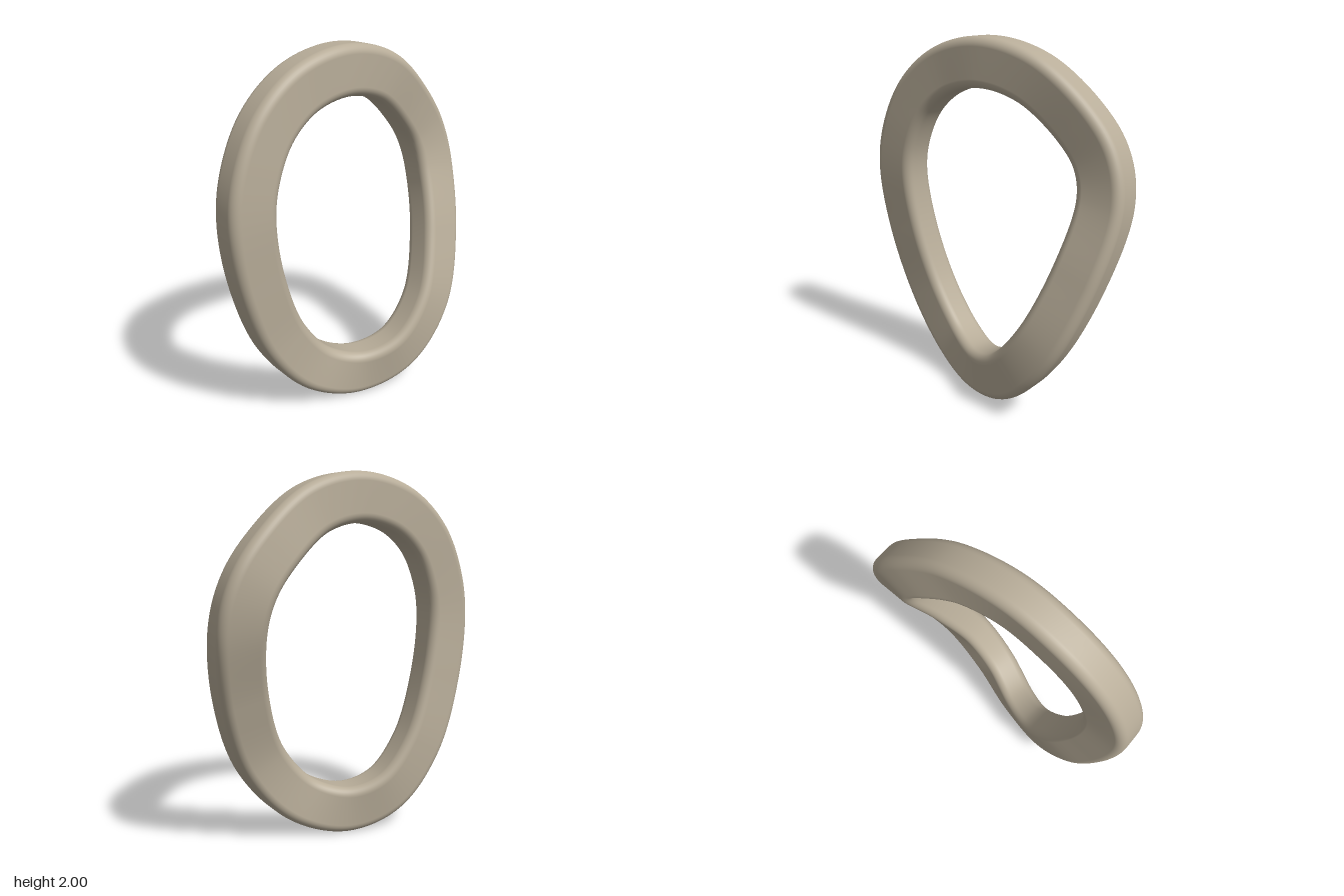
import * as THREE from 'three';

// Rounded-rectangle cross-section, counter-clockwise: u is radial, v is through the thickness
function roundedSection(halfW, halfT, r, steps) {
  const pts = [];
  const corners = [[1, -1, -90], [1, 1, 0], [-1, 1, 90], [-1, -1, 180]];
  for (const [sx, sy, start] of corners) {
    for (let i = 0; i <= steps; i++) {
      const a = THREE.MathUtils.degToRad(start + (90 * i) / steps);
      pts.push([sx * (halfW - r) + r * Math.cos(a), sy * (halfT - r) + r * Math.sin(a)]);
    }
  }
  return pts;
}

// Sweep a section round a closed curve, keeping its width parallel to the front plane
function sweepRing(curve, section, segments) {
  const pos = [], index = [], n = section.length;
  for (let i = 0; i < segments; i++) {
    const p = curve.getPointAt(i / segments);
    const t = curve.getTangentAt(i / segments);
    const out = new THREE.Vector3(t.y, -t.x, 0).normalize();
    const face = new THREE.Vector3().crossVectors(out, t).normalize();
    const next = (i + 1) % segments;
    section.forEach(([u, v], j) => {
      const q = p.clone().addScaledVector(out, u).addScaledVector(face, v);
      pos.push(q.x, q.y, q.z);
      const k = (j + 1) % n;
      const a = i * n + j, b = next * n + j, c = next * n + k, d = i * n + k;
      index.push(a, b, c, a, c, d);
    });
  }
  const g = new THREE.BufferGeometry();
  g.setAttribute('position', new THREE.Float32BufferAttribute(pos, 3));
  g.setIndex(index);
  g.computeVertexNormals();
  return g;
}

export function createModel() {
  const stone = new THREE.MeshStandardMaterial({ color: 0xb8ad99 });
  stone.name = 'warm stone';

  // Wavy egg-shaped centre line, counter-clockwise from the bottom
  const path = new THREE.CatmullRomCurve3([
    [-0.02, 0.1325, 0.04],
    [0.234, 0.215, 0.12],
    [0.457, 0.466, 0.125],
    [0.61, 0.85, 0.02],
    [0.667, 1.22, -0.1],
    [0.62, 1.42, -0.13],
    [0.5, 1.59, -0.122],
    [0.24, 1.8, -0.075],
    [-0.05, 1.8675, -0.045],
    [-0.32, 1.805, -0.037],
    [-0.515, 1.65, -0.025],
    [-0.63, 1.43, -0.014],
    [-0.667, 1.21, -0.012],
    [-0.615, 0.85, -0.03],
    [-0.47, 0.466, -0.05],
    [-0.26, 0.215, -0.03],
  ].map((p) => new THREE.Vector3(...p)), true, 'centripetal');
  path.arcLengthDivisions = 800;

  const ring = new THREE.Mesh(sweepRing(path, roundedSection(0.1325, 0.096, 0.05, 8), 200), stone);
  ring.name = 'wavyRing';

  const model = new THREE.Group();
  model.name = 'ring';
  model.add(ring);
  return model;
}
